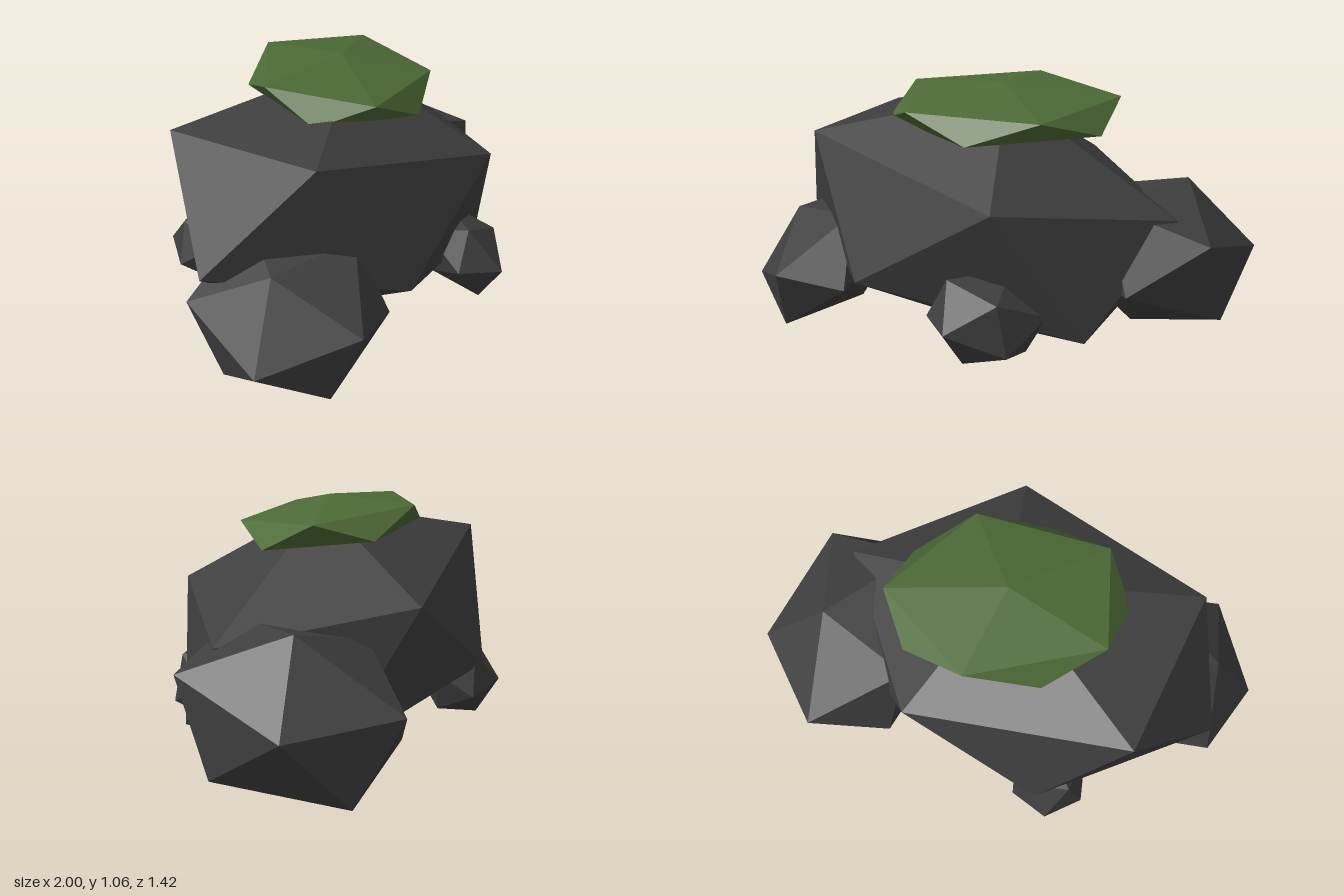
import * as THREE from 'three';

const V = (p) => new THREE.Vector3(...p);

// Matrix whose columns are three points relative to a centre
function basis(center, corners) {
  const [a, b, c] = corners.map((p) => p.clone().sub(center));
  return new THREE.Matrix4().makeBasis(a, b, c);
}

// A twenty-sided stone, stretched so that one face lands on the given corners
// (counter-clockwise from outside); the rest follows from symmetry about the centre.
function stone(name, material, center, ...face) {
  const geometry = new THREE.IcosahedronGeometry(1, 0);
  const first = [0, 1, 2].map((i) => new THREE.Vector3().fromBufferAttribute(geometry.attributes.position, i));
  const stretch = basis(V(center), face.map(V)).multiply(basis(new THREE.Vector3(), first).invert());
  geometry.applyMatrix4(stretch);
  geometry.computeVertexNormals();
  const mesh = new THREE.Mesh(geometry, material);
  mesh.name = name;
  mesh.position.set(...center);
  return mesh;
}

export function createModel() {
  const rock = new THREE.MeshStandardMaterial({ color: 0x3e3e3e, flatShading: true });
  rock.name = 'dark rock';
  const moss = new THREE.MeshStandardMaterial({ color: 0x4d6a36, flatShading: true });
  moss.name = 'moss green';

  const group = new THREE.Group();
  group.name = 'mossyRocks';
  group.add(
    // Main boulder
    stone('boulder', rock, [-0.065, 0.54, 0],
      [-0.66, 0.9, 0.346], [-0.36, 0.36, 0.56], [0.23, 0.72, 0.56]),
    // Flat moss cap
    stone('mossCap', moss, [0.02, 0.987, -0.035],
      [0.02, 1.09, -0.03], [-0.25, 1.01, 0.32], [0.29, 0.995, 0.23]),
    // Smaller stones around the foot
    stone('leftBackStone', rock, [0.64, 0.387, -0.245],
      [0.73, 0.695, -0.32], [0.93, 0.54, 0.06], [1.0, 0.395, -0.44]),
    stone('rightFrontStone', rock, [-0.685, 0.335, 0.232],
      [-0.72, 0.34, 0.59], [-0.82, 0.527, 0.26], [-1.0, 0.217, 0.32]),
    stone('frontPebble', rock, [0.18, 0.285, 0.48],
      [0.104, 0.28, 0.705], [0.055, 0.447, 0.57], [-0.03, 0.29, 0.58]),
    stone('backPebble', rock, [-0.37, 0.28, -0.44],
      [-0.43, 0.28, -0.605], [-0.4, 0.125, -0.515], [-0.536, 0.232, -0.464]),
  );
  return group;
}
